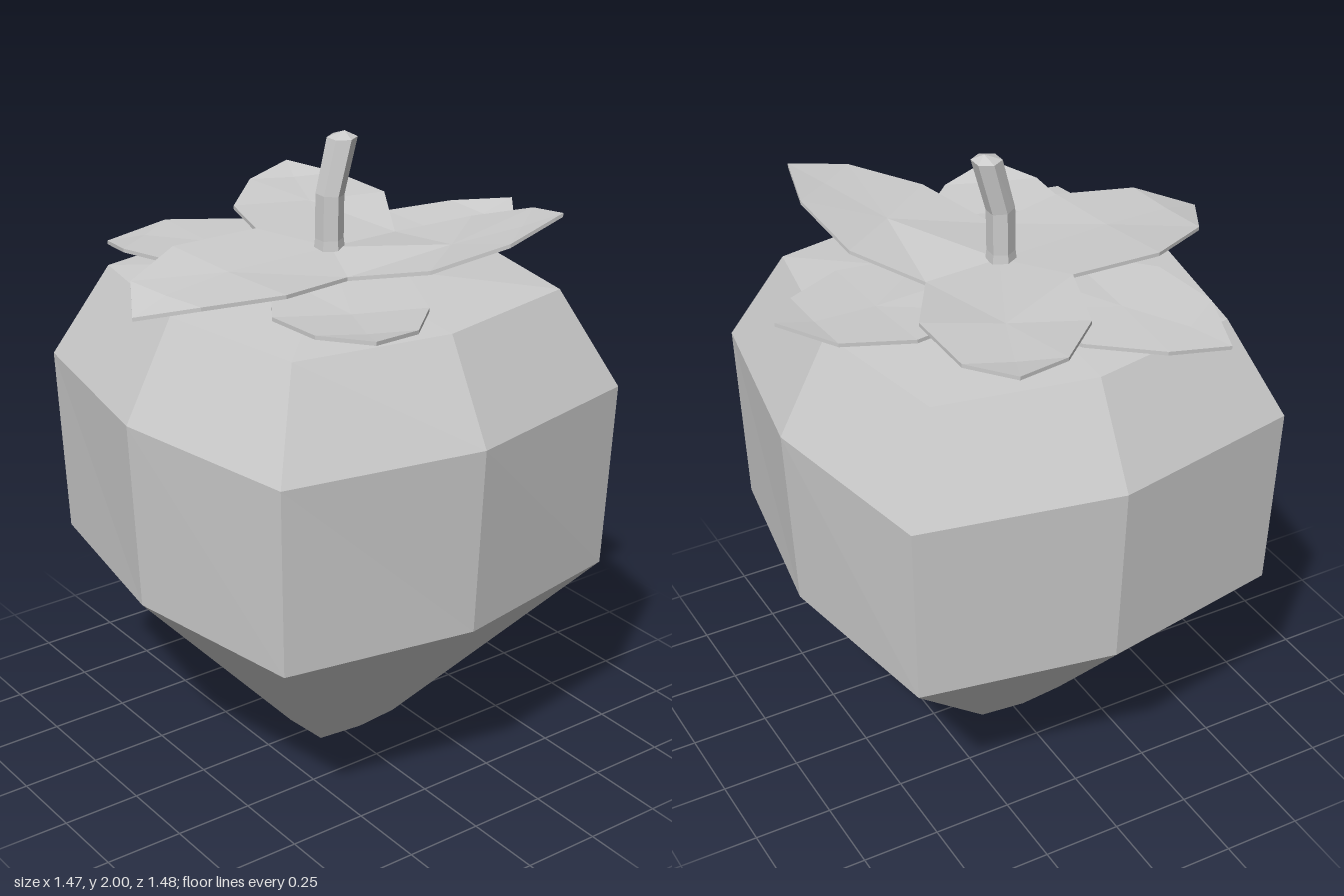
import * as THREE from 'three';

const grey = new THREE.MeshStandardMaterial({ color: 0xcccccc });
grey.name = 'light grey';

// Flat-shaded mesh from a list of triangles or quads (corner points)
function facesMesh(name, faces) {
  const pos = [];
  const tri = (a, b, c) => {
    const n = b.clone().sub(a).cross(c.clone().sub(a));
    if (n.lengthSq() > 1e-14) for (const p of [a, b, c]) pos.push(p.x, p.y, p.z);
  };
  for (const f of faces) for (let i = 2; i < f.length; i++) tri(f[0], f[i - 1], f[i]);
  const geo = new THREE.BufferGeometry();
  geo.setAttribute('position', new THREE.Float32BufferAttribute(pos, 3));
  geo.computeVertexNormals();
  const mesh = new THREE.Mesh(geo, grey);
  mesh.name = name;
  return mesh;
}

// Joins rings of points, listed from bottom to top
function loft(name, rings) {
  const faces = [];
  for (let r = 1; r < rings.length; r++) {
    const lo = rings[r - 1], up = rings[r], n = lo.length;
    for (let i = 0; i < n; i++) {
      const j = (i + 1) % n;
      faces.push([lo[i], up[i], up[j], lo[j]]);
    }
  }
  return facesMesh(name, faces);
}

const V = (p) => new THREE.Vector3(...p);

// Square ring with slightly bulged side middles
function squareRing([y, mx, mz, c]) {
  return [[mx, 0], [c, c], [0, mz], [-c, c], [-mx, 0], [-c, -c], [0, -mz], [c, -c]]
    .map(([x, z]) => new THREE.Vector3(x, y, z));
}

// Six-sided stem ring, tilted by slope
function stemRing([x, y, r, slope]) {
  return Array.from({ length: 6 }, (_, i) => {
    const a = Math.PI / 6 + (i * Math.PI) / 3;
    const dx = r * Math.cos(a);
    return new THREE.Vector3(x + dx, y + dx * slope, r * Math.sin(a));
  });
}

// Three-lobed leaf plate. Each lobe: start notch, two side points, tip, two side points
function leafPlate(name, centre, lobes, thick = 0.012) {
  const c = V(centre), L = lobes.map((l) => l.map(V)), top = [], outline = [];
  L.forEach((l, i) => {
    const [n0, s1, s2, tip, e2, e1] = l;
    const n1 = L[(i + 1) % L.length][0];
    const m1 = s1.clone().lerp(e1, 0.5), m2 = s2.clone().lerp(e2, 0.5);
    m1.y -= 0.006;
    m2.y -= 0.004;
    top.push([c, n0, m1], [n0, s1, m1], [m1, s1, s2], [m1, s2, m2], [m2, s2, tip]);
    top.push([c, m1, n1], [m1, e1, n1], [m1, e2, e1], [m1, m2, e2], [m2, tip, e2]);
    outline.push(...l);
  });
  const down = (p) => p.clone().setY(p.y - thick);
  const under = top.map((f) => f.map(down).reverse());
  const rim = outline.map((p, i) => {
    const q = outline[(i + 1) % outline.length];
    return [down(p), down(q), q, p];
  });
  return facesMesh(name, [...top, ...under, ...rim]);
}

export function createModel() {
  const model = new THREE.Group();
  model.name = 'fruit';

  // Body: height, side middle in x and z, corner
  model.add(loft('body', [
    [0, 0, 0, 0], [0.06, 0.16, 0.16, 0.145], [0.66, 0.7, 0.71, 0.6],
    [1.255, 0.728, 0.742, 0.618], [1.555, 0.57, 0.578, 0.485], [1.6, 0, 0, 0],
  ].map(squareRing)));

  // Lower leaves: front left, right side, back left in plan
  model.add(leafPlate('lowerLeaves', [0, 1.625, 0], [
    [[-0.22, 1.615, 0], [-0.4, 1.6, 0.27], [-0.4, 1.61, 0.475],
      [-0.315, 1.625, 0.64], [-0.13, 1.6, 0.59], [0.02, 1.59, 0.45]],
    [[0.13, 1.605, 0.2], [0.43, 1.62, 0.22], [0.62, 1.63, 0.12],
      [0.735, 1.657, -0.03], [0.61, 1.632, -0.18], [0.4, 1.62, -0.25]],
    [[0.13, 1.615, -0.2], [0, 1.61, -0.48], [-0.19, 1.605, -0.625],
      [-0.395, 1.572, -0.64], [-0.45, 1.61, -0.45], [-0.41, 1.625, -0.23]],
  ]));

  // Upper leaves: raised front one, back one, side one
  model.add(leafPlate('upperLeaves', [0, 1.65, 0], [
    [[-0.1, 1.64, 0.22], [0.02, 1.7, 0.45], [0.22, 1.77, 0.56],
      [0.42, 1.822, 0.555], [0.46, 1.785, 0.38], [0.41, 1.71, 0.16]],
    [[0.25, 1.645, -0.01], [0.4, 1.68, -0.26], [0.4, 1.68, -0.51],
      [0.31, 1.7, -0.67], [0.13, 1.68, -0.62], [-0.04, 1.665, -0.46]],
    [[-0.12, 1.672, -0.22], [-0.41, 1.672, -0.23], [-0.63, 1.645, -0.11],
      [-0.735, 1.612, 0.07], [-0.59, 1.65, 0.2], [-0.35, 1.655, 0.27]],
  ]));

  // Bent stem with a shallow cap: x, height, radius, tilt
  model.add(loft('stem', [
    [-0.005, 1.6, 0.052, 0], [-0.005, 1.68, 0.043, 0], [-0.003, 1.815, 0.043, -0.1],
    [0.042, 1.982, 0.046, 0], [0.05, 2, 0, 0],
  ].map(stemRing)));

  return model;
}
